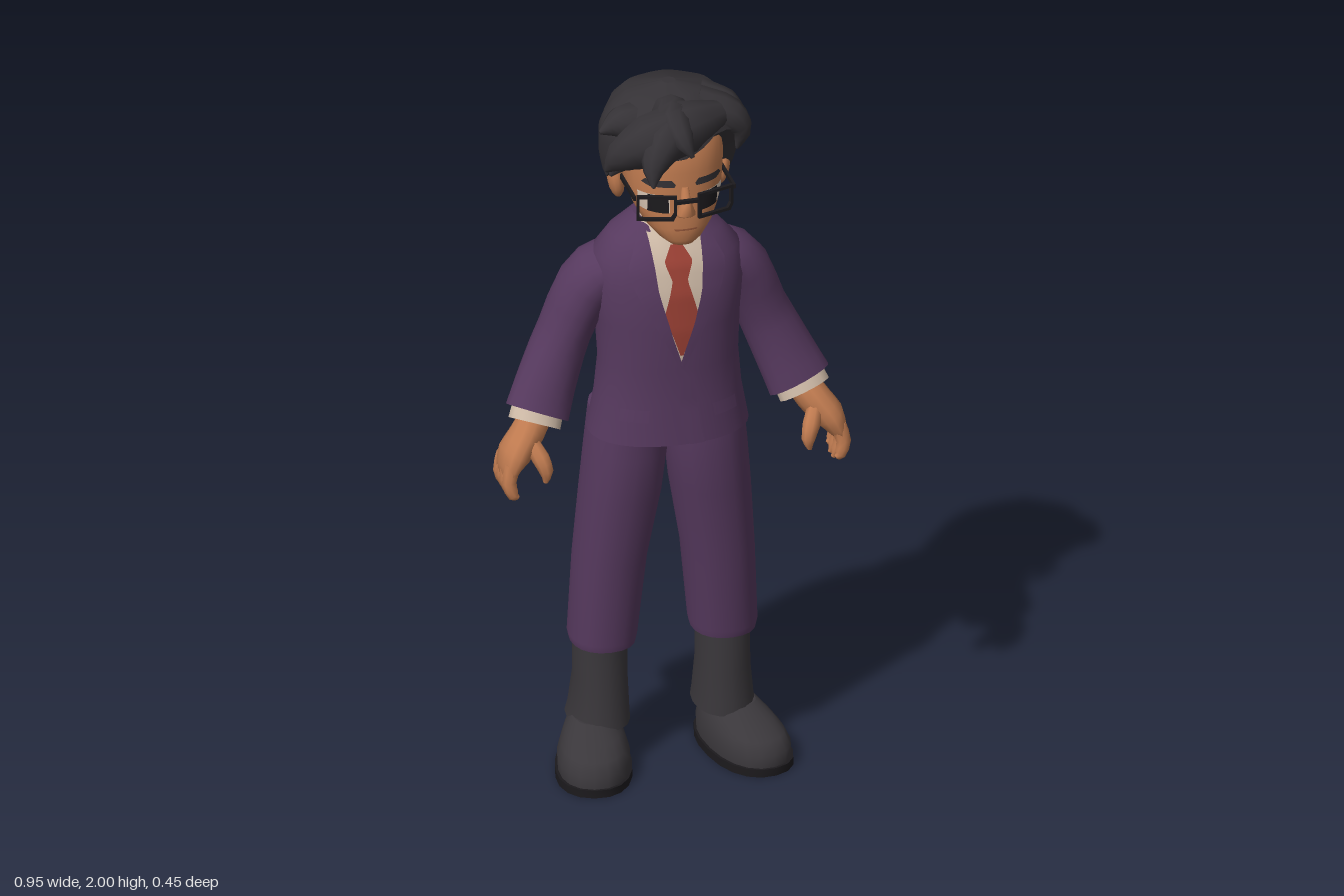
import * as THREE from 'three';

const mat = (name, color, extra) => Object.assign(new THREE.MeshStandardMaterial({ color, ...extra }), { name });
const M = {
  suit: mat('suit purple', 0x56395e, { side: THREE.DoubleSide }),
  skin: mat('skin', 0xc07b50),
  hair: mat('hair', 0x353236),
  boot: mat('boot leather', 0x3a373b),
  sole: mat('sole and frame black', 0x1c1a1d),
  shirt: mat('shirt cream', 0xcdb9a6, { side: THREE.DoubleSide }),
  tie: mat('tie red', 0x9c4135, { side: THREE.DoubleSide }),
  eye: mat('eye white', 0xd8c4b2),
  lip: mat('lip brown', 0x96573a),
};

// Interpolate rows of a table by the column k
function sample(table, t, k = 0) {
  const n = table.length;
  if (t <= table[0][k]) return table[0];
  if (t >= table[n - 1][k]) return table[n - 1];
  const i = table.findIndex((r) => r[k] >= t);
  const a = table[i - 1], b = table[i], f = (t - a[k]) / (b[k] - a[k]);
  return a.map((v, j) => v + (b[j] - v) * f);
}

// Skin a list of equal-sized point rings and cap both ends
function skin(rings) {
  const n = rings[0].length, pos = rings.flat(2), idx = [];
  for (let r = 0; r < rings.length - 1; r++)
    for (let i = 0; i < n; i++) {
      const a = r * n + i, b = r * n + ((i + 1) % n);
      idx.push(a, a + n, b, b, a + n, b + n);
    }
  [rings[0], rings[rings.length - 1]].forEach((ring, end) => {
    const base = pos.length / 3;
    pos.push(...ring.flat());
    for (let k = 0; k < 3; k++) pos.push(ring.reduce((s, p) => s + p[k], 0) / n);
    for (let i = 0; i < n; i++) {
      const a = base + i, b = base + ((i + 1) % n);
      if (end) idx.push(b, a, base + n); else idx.push(a, b, base + n);
    }
  });
  return finish(pos, idx);
}

function finish(pos, idx) {
  const g = new THREE.BufferGeometry();
  g.setAttribute('position', new THREE.Float32BufferAttribute(pos, 3));
  g.setIndex(idx);
  g.computeVertexNormals();
  return g;
}

const sp = (v, e) => Math.sign(v) * Math.abs(v) ** (2 / e);

// Stacked horizontal rings, listed upward: [cx, y, cz, rx, rz]
const loft = (rows, n = 20, e = 2.2) => skin(rows.map(([cx, y, cz, rx, rz]) =>
  Array.from({ length: n }, (_, i) => {
    const a = (i / n) * Math.PI * 2;
    return [cx + rx * sp(Math.cos(a), e), y, cz + rz * sp(Math.sin(a), e)];
  })));

// Tapering tube along a smooth path: [x, y, z, rU, rV], U lying nearest to ref
function tube(pts, ref = [1, 0, 0], n = 12, steps = 10) {
  const curve = new THREE.CatmullRomCurve3(pts.map((p) => new THREE.Vector3(p[0], p[1], p[2])));
  const keyed = pts.map((p, i) => [i / (pts.length - 1), p[3], p[4] ?? p[3]]);
  return skin(Array.from({ length: steps + 1 }, (_, s) => {
    const t = s / steps, c = curve.getPoint(t), T = curve.getTangent(t);
    const U = new THREE.Vector3(...ref).addScaledVector(T, -T.dot(new THREE.Vector3(...ref))).normalize();
    const V = U.clone().cross(T), [, ru, rv] = sample(keyed, t);
    return Array.from({ length: n }, (_, i) => {
      const a = (i / n) * Math.PI * 2;
      return c.clone().addScaledVector(U, ru * Math.cos(a)).addScaledVector(V, rv * Math.sin(a)).toArray();
    });
  }));
}

// Thin sheet lying on the front of a loft; rows upward: [y, xLeft, xRight]
function panel(body, rows, off, e = 2.2, nx = 6, ny = 12) {
  const pos = [], idx = [], y0 = rows[0][0], y1 = rows[rows.length - 1][0];
  for (let j = 0; j <= ny; j++) {
    const y = y0 + ((y1 - y0) * j) / ny, [, l, r] = sample(rows, y), [cx, , cz, rx, rz] = sample(body, y, 1);
    for (let i = 0; i <= nx; i++) {
      const x = l + ((r - l) * i) / nx, u = Math.min(1, Math.abs((x - cx) / rx));
      pos.push(x, y, cz + rz * (1 - u ** e) ** (1 / e) + off);
      const a = j * (nx + 1) + i;
      if (i < nx && j < ny) idx.push(a, a + 1, a + nx + 1, a + 1, a + nx + 2, a + nx + 1);
    }
  }
  return finish(pos, idx);
}

function flipped(geo) {
  const g = geo.clone().scale(-1, 1, 1), ix = g.index.array;
  for (let i = 0; i < ix.length; i += 3) [ix[i], ix[i + 1]] = [ix[i + 1], ix[i]];
  return g;
}

export function createModel() {
  const root = new THREE.Group();
  root.name = 'suitedMan';
  const add = (name, geo, material) => {
    const m = new THREE.Mesh(geo, material);
    m.name = name;
    root.add(m);
    return m;
  };
  const both = (name, geo, material) => {
    add(name + 'Left', geo, material);
    add(name + 'Right', flipped(geo), material);
  };

  // Jacket
  const torso = [[0, 0.99, -0.04, 0.215, 0.15], [0, 1.1, -0.038, 0.195, 0.137], [0, 1.2, -0.035, 0.186, 0.132],
    [0, 1.32, -0.042, 0.192, 0.142], [0, 1.42, -0.05, 0.205, 0.142], [0, 1.5, -0.06, 0.195, 0.13],
    [0, 1.55, -0.067, 0.15, 0.108], [0, 1.6, -0.07, 0.085, 0.07]];
  add('jacket', loft(torso, 32), M.suit);
  add('shirtFront', panel(torso, [[1.23, 0, 0], [1.42, -0.06, 0.06], [1.595, -0.078, 0.078]], 0.004), M.shirt);
  add('tie', panel(torso, [[1.25, -0.004, 0.004], [1.37, -0.045, 0.045], [1.46, -0.02, 0.02],
    [1.465, -0.022, 0.022], [1.51, -0.038, 0.038], [1.55, -0.015, 0.015]], 0.008, 2.2, 4, 24), M.tie);
  both('lapel', panel(torso, [[1.215, 0, 0.006], [1.43, 0.058, 0.115], [1.49, 0.064, 0.135], [1.595, 0.072, 0.083]], 0.011), M.suit);
  both('pocketFlap', panel(torso, [[1.06, 0.09, 0.16], [1.095, 0.085, 0.155]], 0.009, 2.2, 6, 3), M.suit);
  add('frontOverlap', panel(torso, [[0.992, 0.02, 0.06], [1.04, -0.004, 0.05], [1.215, -0.004, 0.03]], 0.007), M.suit);

  // Sleeves, cuffs and hands
  both('sleeve', tube([[0.13, 1.46, -0.07, 0.06, 0.085], [0.195, 1.42, -0.078, 0.076, 0.09], [0.265, 1.27, -0.088, 0.071, 0.083],
    [0.318, 1.15, -0.062, 0.08, 0.073], [0.355, 1.065, -0.03, 0.088, 0.062]], [1, 0, 0], 16), M.suit);
  both('cuff', tube([[0.35, 1.08, -0.035, 0.07, 0.05], [0.366, 1.04, -0.018, 0.072, 0.053]], [1, 0, 0], 14, 2), M.shirt);
  both('hand', tube([[0.36, 1.06, -0.025, 0.045, 0.04], [0.39, 1.015, -0.01, 0.045, 0.055], [0.425, 0.97, 0, 0.042, 0.066],
    [0.445, 0.93, 0.004, 0.026, 0.062], [0.45, 0.91, 0.005, 0.012, 0.05]]), M.skin);
  for (let i = 0; i < 4; i++) {
    const z = -0.043 + i * 0.029;
    both('finger' + (i + 1), tube([[0.44, 0.955, z, 0.022, 0.017], [0.453, 0.91, z + 0.007, 0.02, 0.017],
      [0.442, 0.875, z + 0.012, 0.016, 0.014], [0.43, i % 3 ? 0.855 : 0.868, z + 0.014, 0.006]], [1, 0, 0], 8, 6), M.skin);
  }
  both('thumb', tube([[0.392, 1.02, 0.01, 0.02], [0.367, 0.97, 0.048, 0.024], [0.355, 0.935, 0.062, 0.019], [0.358, 0.905, 0.064, 0.006]], [1, 0, 0], 8, 6), M.skin);

  // Trousers, boots and shoes
  both('trouserLeg', loft([[0.163, 0.35, -0.09, 0.086, 0.097], [0.163, 0.37, -0.09, 0.09, 0.101], [0.146, 0.6, -0.08, 0.096, 0.11],
    [0.121, 0.8, -0.066, 0.106, 0.12], [0.108, 0.93, -0.06, 0.107, 0.126], [0.103, 1.04, -0.06, 0.1, 0.122]]), M.suit);
  both('bootShaft', loft([[0.17, 0.115, -0.11, 0.082, 0.112], [0.168, 0.15, -0.106, 0.077, 0.105], [0.166, 0.24, -0.1, 0.07, 0.092],
    [0.166, 0.38, -0.1, 0.07, 0.09]], 16), M.boot);
  const placeShoe = (g) => {
    const p = g.attributes.position;
    for (let i = 0; i < p.count; i++) p.setX(i, p.getX(i) * (1 + 0.8 * p.getZ(i)));
    g.computeVertexNormals();
    return g.rotateY(0.25).translate(0.2, 0, -0.04);
  };
  both('shoe', placeShoe(loft([[0, 0.02, 0, 0.093, 0.18], [0, 0.055, 0, 0.095, 0.18], [0, 0.085, -0.01, 0.086, 0.165],
    [0, 0.107, -0.035, 0.076, 0.138], [0, 0.135, -0.07, 0.058, 0.1]], 20)), M.boot);
  both('sole', placeShoe(loft([[0, 0, 0, 0.1, 0.187], [0, 0.022, 0, 0.1, 0.187]], 20)), M.sole);

  // Neck, collar and head
  add('neck', loft([[0, 1.53, -0.045, 0.062, 0.06], [0, 1.68, -0.025, 0.058, 0.06]], 14), M.skin);
  add('collar', loft([[0, 1.55, -0.055, 0.09, 0.083], [0, 1.615, -0.052, 0.07, 0.066]], 18), M.shirt);
  const head = [[0, 1.588, 0.095, 0.035, 0.035], [0, 1.605, 0.08, 0.058, 0.062], [0, 1.64, 0.055, 0.09, 0.09], [0, 1.68, 0.03, 0.112, 0.112],
    [0, 1.73, 0.008, 0.128, 0.13], [0, 1.8, 0, 0.134, 0.138], [0, 1.87, -0.01, 0.132, 0.138], [0, 1.94, -0.02, 0.09, 0.1]];
  add('head', loft(head, 28), M.skin);
  both('ear', new THREE.SphereGeometry(1, 12, 8).scale(0.022, 0.055, 0.033).rotateZ(-0.15).translate(0.143, 1.725, -0.03), M.skin);
  add('nose', loft([[0, 1.678, 0.14, 0.022, 0.014], [0, 1.69, 0.148, 0.025, 0.027], [0, 1.72, 0.143, 0.014, 0.018], [0, 1.76, 0.135, 0.01, 0.006]], 10), M.skin);
  add('mouth', panel(head, [[1.638, -0.028, 0.028], [1.643, -0.032, 0.032]], 0.003, 2.2, 6, 2), M.lip);
  both('eye', panel(head, [[1.69, 0.042, 0.11], [1.74, 0.04, 0.114]], 0.003), M.eye);
  both('iris', panel(head, [[1.69, 0.045, 0.094], [1.74, 0.045, 0.094]], 0.006), M.sole);
  both('eyebrow', panel(head, [[1.764, 0.03, 0.09], [1.772, 0.026, 0.108], [1.784, 0.036, 0.1]], 0.005), M.hair);

  // Glasses
  const rect = (P, w, h) => {
    const s = new P();
    [[-w, -h], [w * 0.9 - 0.004, -h], [w, -h * 0.5], [w, h], [-w, h]].forEach(([x, y], i) => (i ? s.lineTo(x, y) : s.moveTo(x, y)));
    s.closePath();
    return s;
  };
  for (const s of [-1, 1]) {
    const shape = rect(THREE.Shape, 0.053, 0.036);
    shape.holes.push(rect(THREE.Path, 0.045, 0.028));
    const rim = add('glassesRim', new THREE.ExtrudeGeometry(shape, { depth: 0.01, bevelEnabled: false }), M.sole);
    rim.position.set(s * 0.078, 1.714, 0.142);
    rim.rotation.y = s * 0.3;
    add('glassesTemple', new THREE.BoxGeometry(0.007, 0.012, 0.155).translate(s * 0.135, 1.742, 0.055), M.sole);
  }
  add('glassesBridge', new THREE.BoxGeometry(0.06, 0.009, 0.012).translate(0, 1.73, 0.16), M.sole);

  // Hair cap: hem height by angle from the front, fullness by height
  const hem = [[-180, 1.635], [-135, 1.655], [-112, 1.69], [-104, 1.77], [-92, 1.73], [-80, 1.76], [-60, 1.81], [-30, 1.835], [0, 1.85], [28, 1.895],
    [50, 1.89], [72, 1.82], [84, 1.74], [92, 1.72], [104, 1.77], [112, 1.69], [135, 1.655], [180, 1.635]];
  const full = [[1.63, 0.7], [1.7, 0.89], [1.8, 1], [1.88, 1], [1.93, 0.88], [1.965, 0.68], [1.985, 0.45], [1.995, 0.1]];
  const N = 48, cap = [];
  for (let j = 0; j <= 9; j++)
    cap.push(Array.from({ length: N }, (_, i) => {
      const a = (i / N) * Math.PI * 2;
      let d = 90 - (i / N) * 360;
      if (d < -180) d += 360;
      const low = sample(hem, d)[1], y = low + (1.995 - low) * (j / 9) ** 0.9;
      const r = sample(full, y)[1] * (1 + 0.018 * Math.sin(a * 7 + y * 9));
      return [0.182 * r * Math.cos(a), y, -0.026 + 0.176 * r * Math.sin(a)];
    }));
  add('hairCap', skin(cap), M.hair);

  // Swept fringe and loose locks
  const locks = [
    [[0.11, 1.93, 0.07, 0.035], [0.01, 1.925, 0.11, 0.072], [-0.09, 1.9, 0.12, 0.075], [-0.165, 1.855, 0.1, 0.045], [-0.2, 1.81, 0.085, 0.006]],
    [[0.0, 1.935, 0.09, 0.06], [-0.06, 1.91, 0.155, 0.058], [-0.1, 1.86, 0.195, 0.034], [-0.11, 1.815, 0.225, 0.004]],
    [[-0.02, 1.94, 0.06, 0.055], [-0.03, 1.95, 0.13, 0.05], [-0.02, 1.925, 0.19, 0.03], [0.0, 1.885, 0.215, 0.005]],
    [[-0.08, 1.9, 0.02, 0.07], [-0.15, 1.915, 0.03, 0.045], [-0.205, 1.9, 0.04, 0.005]],
    [[0.06, 1.93, 0.02, 0.06], [0.14, 1.91, 0.045, 0.05], [0.175, 1.87, 0.055, 0.03], [0.165, 1.81, 0.05, 0.005]],
    [[0.08, 1.94, -0.02, 0.05], [0.15, 1.925, 0.01, 0.035], [0.193, 1.9, 0.03, 0.005]],
    [[-0.1, 1.84, 0.04, 0.05], [-0.155, 1.82, 0.06, 0.035], [-0.185, 1.785, 0.07, 0.004]],
  ];
  locks.forEach((p, i) => add('hairLock' + (i + 1), tube(p, [0.2, 0.5, 1], 9, 8), M.hair));
  return root;
}
